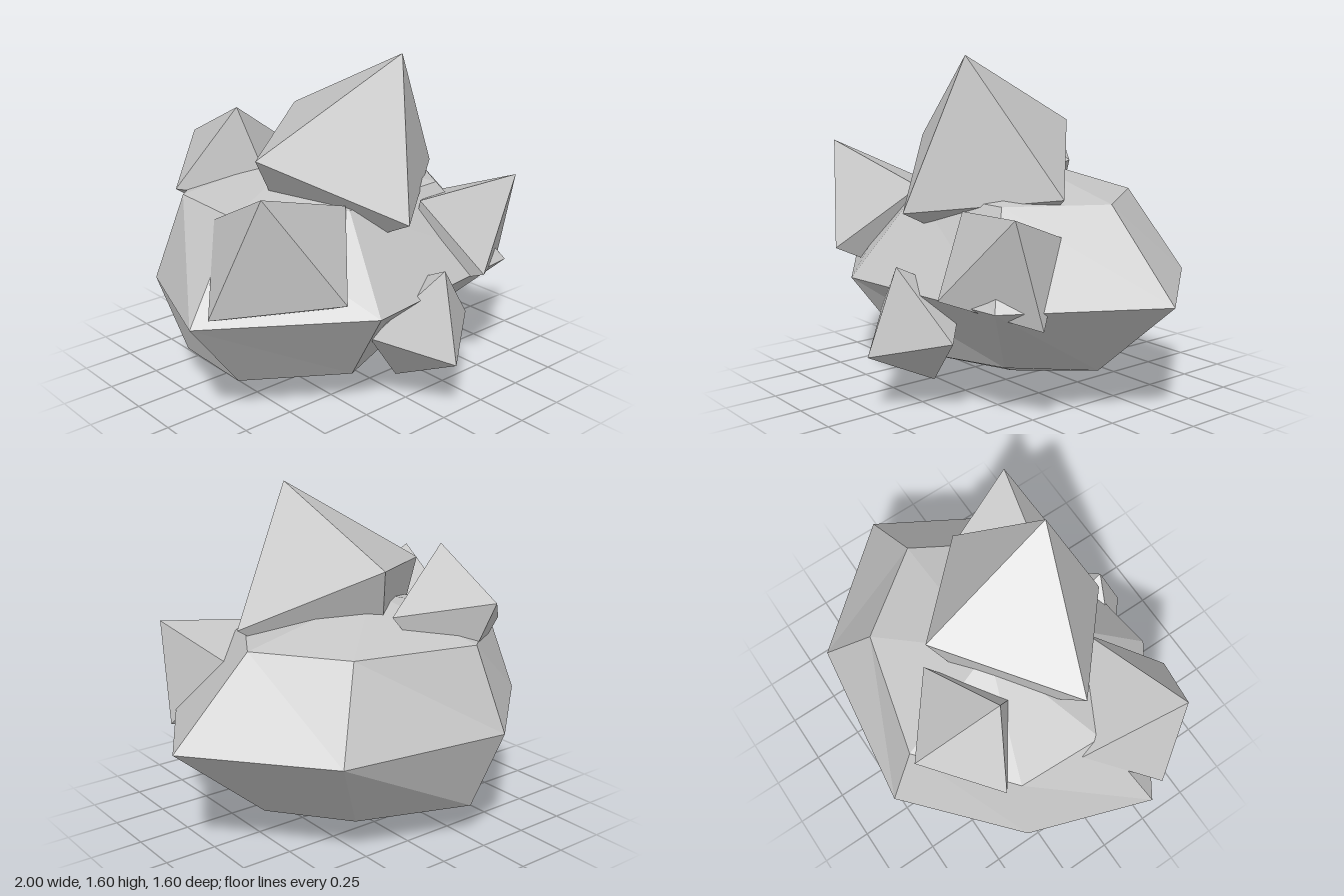
import * as THREE from 'three';

// Faceted boulder: seven-sided rings between two poles, stretched along x, with uneven radii
function boulderGeometry() {
  const sides = 7, stretch = 1.33, cx = -0.09, cz = -0.11;
  const bottom = [cx, 0, cz], top = [cx, 1.11, cz];
  const rings = [
    { y: 0.165, r: [0.474, 0.44, 0.554, 0.484, 0.492, 0.513, 0.4] },
    { y: 0.56, r: [0.82, 0.735, 0.71, 0.59, 0.76, 0.8, 0.845] },
    { y: 0.95, r: [0.526, 0.5, 0.554, 0.475, 0.49, 0.48, 0.54] },
  ];
  const point = (i, j) => {
    const k = j % sides, a = (k / sides) * Math.PI * 2, s = rings[i].r[k];
    return [cx + Math.cos(a) * s * stretch, rings[i].y, cz - Math.sin(a) * s];
  };
  const pos = [];
  for (let j = 0; j < sides; j++) {
    pos.push(...bottom, ...point(0, j + 1), ...point(0, j));
    for (let i = 0; i < rings.length - 1; i++) {
      const a = point(i, j), b = point(i, j + 1), c = point(i + 1, j + 1), d = point(i + 1, j);
      pos.push(...a, ...b, ...d, ...b, ...c, ...d);
    }
    pos.push(...point(2, j), ...point(2, j + 1), ...top);
  }
  const geo = new THREE.BufferGeometry();
  geo.setAttribute('position', new THREE.Float32BufferAttribute(pos, 3));
  geo.computeVertexNormals();
  return geo;
}

// Octahedral shard from its centre and three half-axes
function shardGeometry(centre, u, v, w) {
  const [U, V, W] = [u, v, w].map((a) => new THREE.Vector3(...a));
  const m = new THREE.Matrix4().makeBasis(U, V, W);
  if (m.determinant() < 0) m.makeBasis(U, V, W.negate());
  m.setPosition(...centre);
  const geo = new THREE.OctahedronGeometry(1, 0).applyMatrix4(m);
  geo.computeVertexNormals();
  return geo;
}

export function createModel() {
  const model = new THREE.Group();
  model.name = 'rockCluster';
  const stone = new THREE.MeshStandardMaterial({ color: 0xc5c5c5, flatShading: true });
  stone.name = 'lightGreyStone';

  const add = (name, geo) => {
    const mesh = new THREE.Mesh(geo, stone);
    mesh.name = name;
    model.add(mesh);
  };

  add('boulder', boulderGeometry());

  // Shards embedded in the boulder: centre, then three half-axes
  const shards = {
    topShard: [[-0.01, 1.08, 0.1], [0.54, -0.1, 0], [-0.045, -0.19, 0.455], [0.12, 0.52, 0.22]],
    rightShard: [[-0.6, 0.795, 0.32], [-0.36, -0.175, -0.02], [0.1, -0.125, 0.33], [-0.2, 0.36, 0.15]],
    backShard: [[-0.315, 1.01, -0.39], [-0.335, -0.055, 0], [-0.035, 0.12, -0.28], [-0.075, 0.32, 0.14]],
    leftShard: [[0.455, 0.7, 0.39], [-0.28, 0.215, 0], [-0.11, -0.12, 0.26], [0.245, 0.265, 0.125]],
    frontShard: [[0.03, 0.388, 0.55], [0.3, -0.02, 0.01], [-0.015, -0.11, 0.25], [0.03, 0.293, 0.12]],
  };
  for (const [name, axes] of Object.entries(shards)) add(name, shardGeometry(...axes));

  return model;
}
